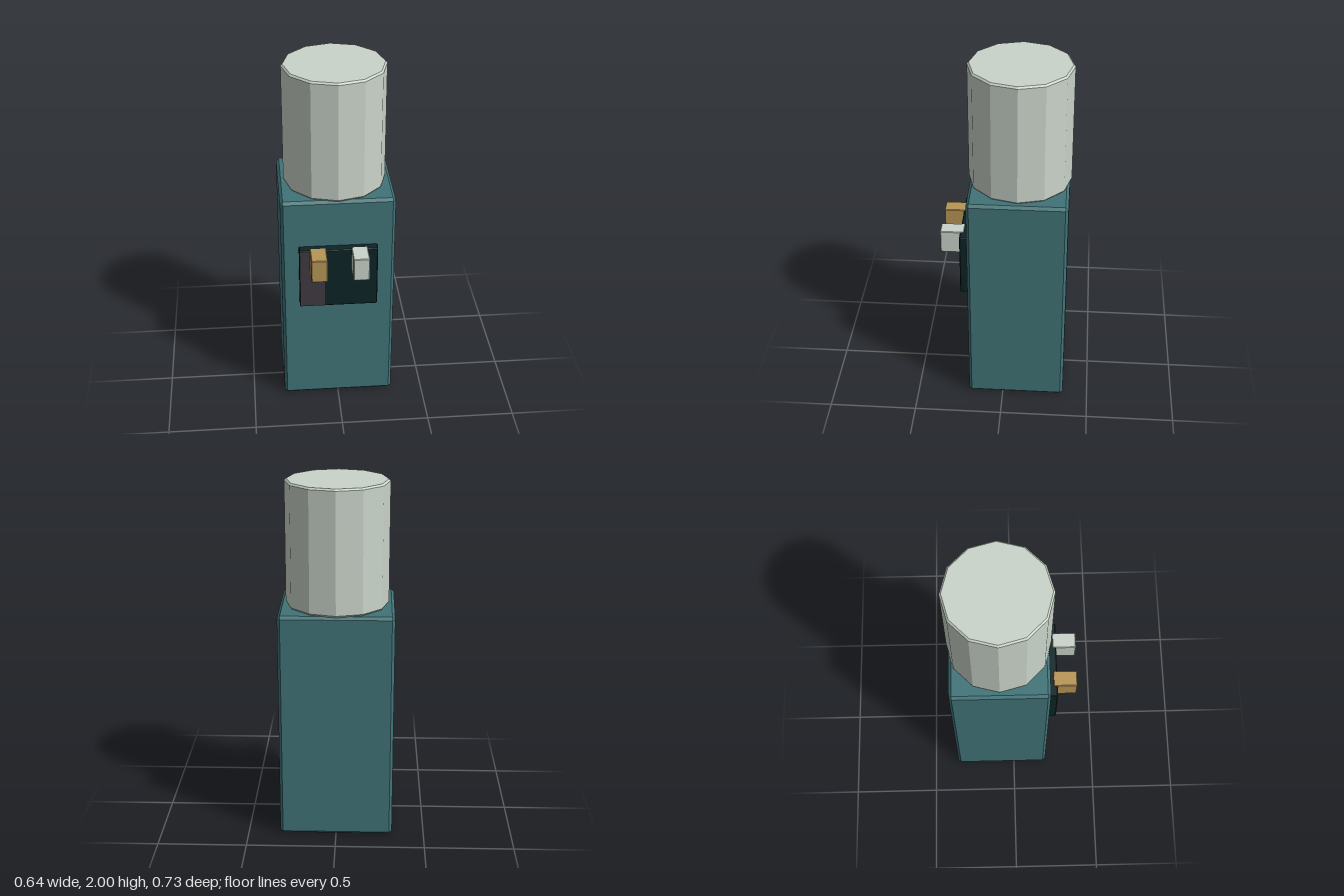
import * as THREE from 'three';
import { ConvexGeometry } from 'three/addons/geometries/ConvexGeometry.js';

function material(name, color) {
  const m = new THREE.MeshStandardMaterial({ color });
  m.name = name;
  return m;
}

// Box between two corners with every edge cut by a bevel c
function bevelBox([x0, y0, z0], [x1, y1, z1], c) {
  const half = [(x1 - x0) / 2, (y1 - y0) / 2, (z1 - z0) / 2];
  const points = [];
  for (const sx of [-1, 1]) for (const sy of [-1, 1]) for (const sz of [-1, 1]) {
    for (let axis = 0; axis < 3; axis++) {
      const [x, y, z] = half.map((h, i) => (i === axis ? h : h - c));
      points.push(new THREE.Vector3(sx * x, sy * y, sz * z));
    }
  }
  return new ConvexGeometry(points).translate((x0 + x1) / 2, (y0 + y1) / 2, (z0 + z1) / 2);
}

export function createModel() {
  const teal = material('teal', 0x417478);
  const pale = material('pale grey', 0xcad4ca);
  const amber = material('amber', 0xb79656);
  const dark = material('dark teal', 0x0d2426);
  const plum = material('dark plum', 0x3f3a42);

  const group = new THREE.Group();
  group.name = 'waterCooler';
  const add = (name, geometry, mat) => {
    const mesh = new THREE.Mesh(geometry, mat);
    mesh.name = name;
    group.add(mesh);
    return mesh;
  };

  // Cabinet
  add('cabinet', bevelBox([-0.319, 0, -0.356], [0.319, 1.305, 0.2], 0.016), teal);

  // Twelve-sided bottle with bevelled rims
  const profile = [[0, 1.302], [0.278, 1.302], [0.288, 1.314], [0.288, 1.99], [0.278, 2], [0, 2]]
    .map(([r, y]) => new THREE.Vector2(r, y));
  const bottle = new THREE.LatheGeometry(profile, 12).toNonIndexed();
  bottle.computeVertexNormals();
  add('bottle', bottle, pale).position.z = -0.078;

  // Dispenser panel with a coloured strip on its face
  add('dispenserPanel', bevelBox([-0.221, 0.655, 0.18], [0.219, 1.024, 0.25], 0.005), dark);
  add('panelStrip', new THREE.BoxGeometry(0.138, 0.361, 0.003).translate(-0.149, 0.8395, 0.25), plum);

  // Taps
  for (const [name, x, mat] of [['hotTap', -0.116, amber], ['coldTap', 0.116, pale]]) {
    add(name, bevelBox([x - 0.045, 0.889, 0.228], [x + 0.045, 1.026, 0.363], 0.004), mat);
  }

  return group;
}
